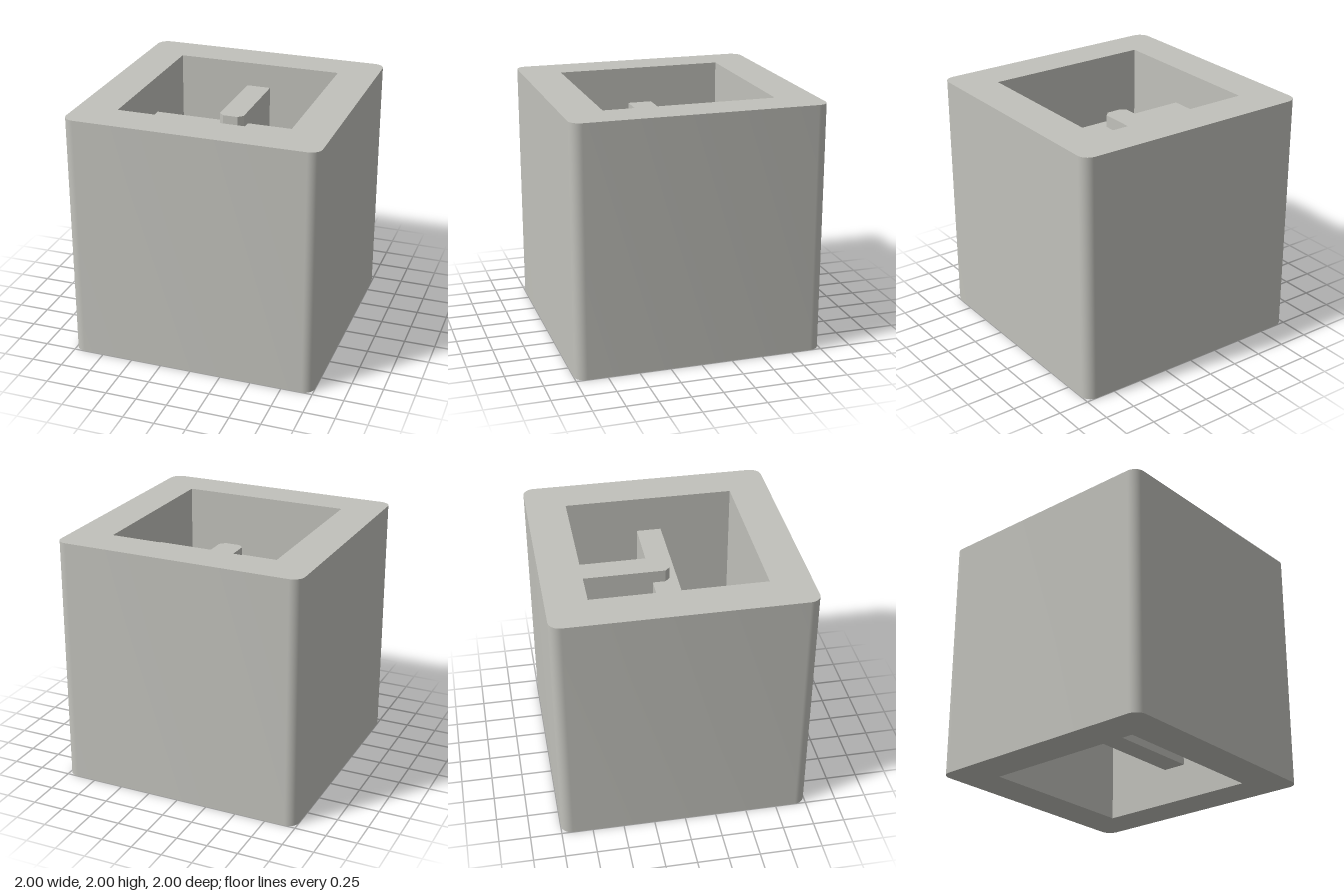
import * as THREE from 'three';
import { toCreasedNormals } from 'three/addons/utils/BufferGeometryUtils.js';

const stone = new THREE.MeshStandardMaterial({ color: 0xc1c1bb });
stone.name = 'warm grey';

// Extrude a plan outline (x, -z) upward between two heights
function upright(name, shape, bottom, top) {
  const extruded = new THREE.ExtrudeGeometry(shape, {
    depth: top - bottom, bevelEnabled: false, curveSegments: 6,
  });
  extruded.rotateX(-Math.PI / 2);
  extruded.translate(0, bottom, 0);
  const mesh = new THREE.Mesh(toCreasedNormals(extruded, 0.6), stone);
  mesh.name = name;
  return mesh;
}

function outline(points) {
  return new THREE.Shape(points.map(([x, z]) => new THREE.Vector2(x, -z)));
}

// Square with rounded corners
function roundedSquare(half, r) {
  const s = new THREE.Shape();
  const c = half - r;
  s.absarc(c, c, r, 0, Math.PI / 2);
  s.absarc(-c, c, r, Math.PI / 2, Math.PI);
  s.absarc(-c, -c, r, Math.PI, Math.PI * 1.5);
  s.absarc(c, -c, r, Math.PI * 1.5, Math.PI * 2);
  s.closePath();
  return s;
}

export function createModel() {
  const model = new THREE.Group();
  model.name = 'hollowBlock';
  const inner = 0.68;

  // Outer block, open through top and bottom
  const plan = roundedSquare(1, 0.09);
  plan.holes.push(new THREE.Path([
    new THREE.Vector2(-inner, -inner), new THREE.Vector2(-inner, inner),
    new THREE.Vector2(inner, inner), new THREE.Vector2(inner, -inner),
  ]));
  model.add(upright('outerBlock', plan, 0, 2));

  // Partition running side to side
  model.add(upright('crossPartition', outline([
    [-inner, 0.1], [inner, 0.1], [inner, -0.1], [-inner, -0.1],
  ]), 0.3, 1.7));

  // Rib from the back wall, with a chamfered end over the partition
  model.add(upright('backRib', outline([
    [-0.1, -inner], [-0.1, 0], [-0.06, 0.04], [0.06, 0.04], [0.1, 0], [0.1, -inner],
  ]), 0.5, 1.8));

  return model;
}
